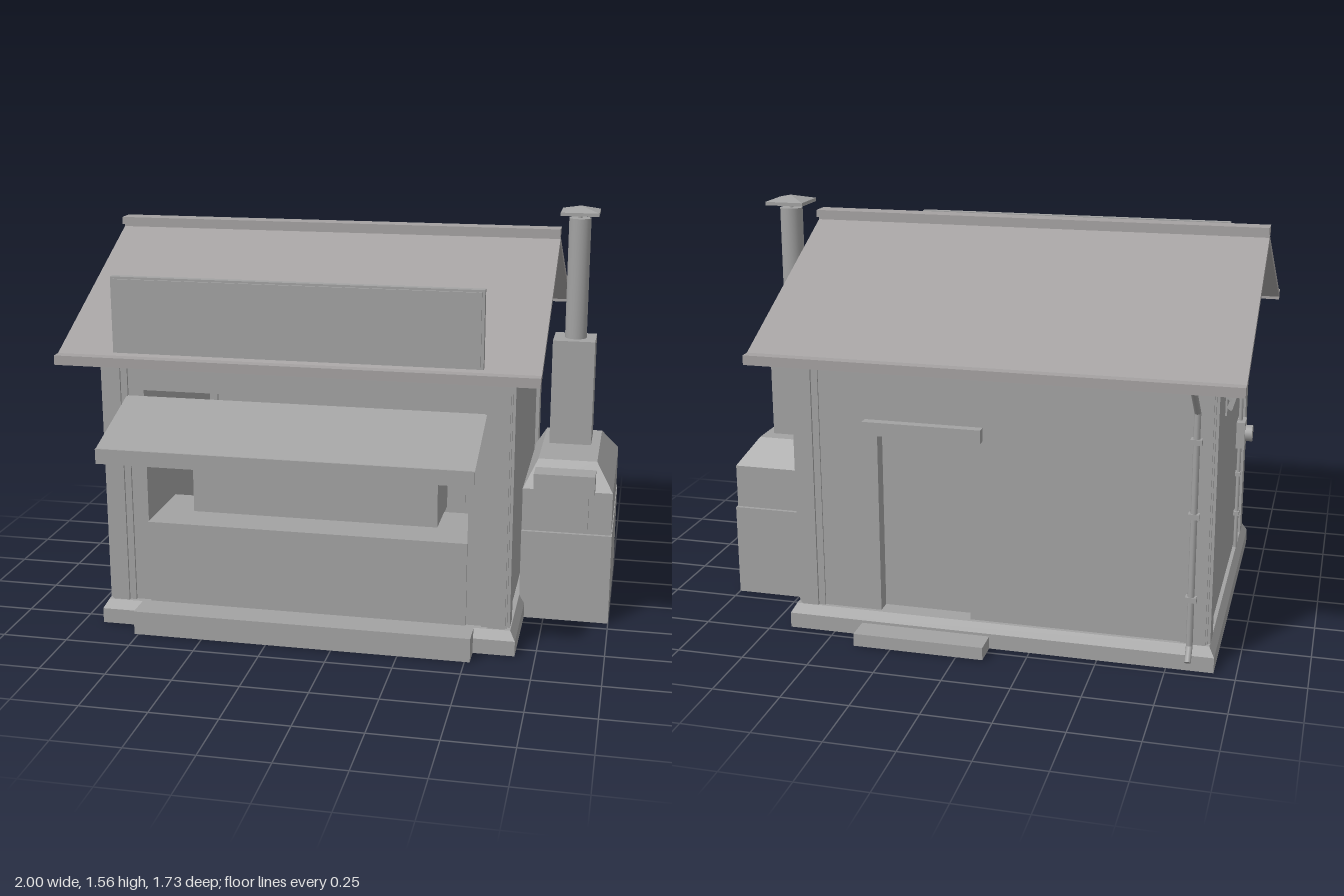
import * as THREE from 'three';

const wallMat = new THREE.MeshStandardMaterial({ color: 0xa2a2a2, name: 'grey', side: THREE.DoubleSide });
const roofMat = new THREE.MeshStandardMaterial({ color: 0xa4a1a1, name: 'warm grey', side: THREE.DoubleSide });

export function createModel() {
  const root = new THREE.Group();
  root.name = 'kioskHut';

  const add = (name, geo, mat = wallMat) => {
    const m = new THREE.Mesh(geo, mat);
    m.name = name;
    root.add(m);
    return m;
  };
  // Box given by its limits on each axis
  const box = (name, x0, x1, y0, y1, z0, z1, mat) =>
    add(name, new THREE.BoxGeometry(x1 - x0, y1 - y0, z1 - z0)
      .translate((x0 + x1) / 2, (y0 + y1) / 2, (z0 + z1) / 2), mat);
  // Box whose top face shrinks to the limits in t = [x0, x1, z0, z1]
  const taper = (name, x0, x1, y0, y1, z0, z1, t) => {
    const g = new THREE.BoxGeometry(1, 1, 1);
    const p = g.attributes.position;
    for (let i = 0; i < p.count; i++) {
      const top = p.getY(i) > 0;
      const [a, b, c, d] = top ? t : [x0, x1, z0, z1];
      p.setXYZ(i, p.getX(i) > 0 ? b : a, top ? y1 : y0, p.getZ(i) > 0 ? d : c);
    }
    g.computeVertexNormals();
    return add(name, g);
  };
  // Round bar between two points
  const rod = (name, a, b, r, sides = 8) => {
    const va = new THREE.Vector3(...a), vb = new THREE.Vector3(...b);
    const d = vb.clone().sub(va);
    const m = add(name, new THREE.CylinderGeometry(r, r, d.length(), sides));
    m.quaternion.setFromUnitVectors(new THREE.Vector3(0, 1, 0), d.normalize());
    m.position.copy(va.add(vb).multiplyScalar(0.5));
    return m;
  };
  const shapeOf = pts => new THREE.Shape(pts.map(p => new THREE.Vector2(...p)));
  // Profile of [z, y] points extruded along x
  const alongX = (name, pts, x0, x1, mat) =>
    add(name, new THREE.ExtrudeGeometry(shapeOf(pts), { depth: x1 - x0, bevelEnabled: false })
      .rotateY(-Math.PI / 2).translate(x1, 0, 0), mat);
  // Wall facing front or back with one rectangular opening
  const wallWithHole = (name, z0, z1, hx0, hx1, hy0, hy1) => {
    const s = shapeOf([[-0.885, 0.08], [0.635, 0.08], [0.635, 1.09], [-0.885, 1.09]]);
    s.holes.push(new THREE.Path([[hx0, hy0], [hx0, hy1], [hx1, hy1], [hx1, hy0]].map(p => new THREE.Vector2(...p))));
    add(name, new THREE.ExtrudeGeometry(s, { depth: z1 - z0, bevelEnabled: false }).translate(0, 0, z0));
  };

  // Plinth and steps
  box('plinth', -0.92, 0.675, 0, 0.058, -0.715, 0.565);
  taper('plinthBevel', -0.92, 0.675, 0.058, 0.092, -0.715, 0.565, [-0.9, 0.655, -0.695, 0.545]);
  box('frontStep', -0.765, 0.52, 0, 0.092, 0.5, 0.648);
  box('backStep', -0.1, 0.39, 0, 0.048, -0.813, -0.68);

  // Walls
  wallWithHole('frontWall', 0.46, 0.522, -0.735, 0.488, 0.4, 0.93);
  wallWithHole('backWall', -0.68, -0.61, -0.02, 0.325, 0.09, 0.785);
  box('leftWall', 0.58, 0.636, 0.08, 1.09, -0.675, 0.52);
  box('rightWall', -0.886, -0.83, 0.08, 1.09, -0.675, 0.52);
  box('wallPlate', -0.91, 0.665, 1.085, 1.12, -0.715, 0.565);

  // Corner posts: a core with a board on each outer face
  for (const sx of [-1, 1]) for (const front of [true, false]) {
    const X = (name, a, b, z0, z1) => {
      const xs = [sx * a - 0.125, sx * b - 0.125].sort((p, q) => p - q);
      const f = d => front ? 0.54 - d : -0.695 + d;
      const zs = [f(z0), f(z1)].sort((p, q) => p - q);
      box(name, xs[0], xs[1], 0.09, 1.09, zs[0], zs[1]);
    };
    X('cornerPost', 0.67, 0.766, 0.009, 0.1);
    X('cornerBoard', 0.695, 0.76, 0, 0.03);
    X('cornerBoard', 0.74, 0.776, 0.02, 0.1);
  }

  // Serving front
  box('counterPanel', -0.735, 0.488, 0.09, 0.414, 0.45, 0.532);
  box('counterTop', -0.735, 0.488, 0.395, 0.414, 0.2, 0.5);
  box('counterCabinet', -0.6, 0.355, 0.41, 0.618, 0.12, 0.38);
  box('frontHeader', -0.8, 0.55, 1.02, 1.085, 0.5, 0.532);

  // Awning: sloping sheet, lip and brackets
  const sheet = new THREE.PlaneGeometry(1.35, Math.hypot(0.335, 0.11));
  sheet.rotateX(-Math.atan2(0.335, 0.11)).translate(-0.125, 0.853, 0.693);
  add('awningSheet', sheet);
  box('awningLip', -0.8, 0.55, 0.745, 0.8, 0.858, 0.865);
  for (const x of [-0.715, 0.468]) {
    rod('awningBar', [x, 0.79, 0.5], [x, 0.79, 0.815], 0.007);
    rod('awningBrace', [x, 0.66, 0.535], [x, 0.787, 0.815], 0.007);
  }

  // Back door
  box('backDoor', -0.03, 0.335, 0.09, 0.79, -0.625, -0.605);
  box('doorLintel', -0.07, 0.37, 0.785, 0.835, -0.715, -0.66);

  // Roof
  const ridge = -0.075, top = 1.458, half = 0.775, eave = 1.083, th = 0.025;
  for (const s of [1, -1])
    alongX('roofSlope', [[ridge, top], [ridge + s * half, eave], [ridge + s * half, eave - th], [ridge, top - th]], -1, 0.75, roofMat);
  box('ridgeCap', -1, 0.75, 1.464, 1.492, -0.113, -0.037, roofMat);
  box('ridgeBoard', -1, 0.75, 1.43, 1.466, -0.088, -0.062, roofMat);
  for (const s of [1, -1]) {
    const z = ridge + s * 0.768;
    box('gutter', -1, 0.75, 1.06, 1.095, z - 0.021, z + 0.021, roofMat);
    for (let i = 0; i < 6; i++) {
      const x = -0.9 + i * 0.31;
      alongX('rafterTail', [[ridge + s * 0.745, 1.054], [ridge + s * 0.745, 1.07], [ridge + s * 0.6, 1.125], [ridge + s * 0.6, 1.105]], x - 0.012, x + 0.012);
    }
  }
  for (const x of [-0.89, 0.62])
    alongX('gable', [[ridge - 0.63, 1.118], [ridge + 0.63, 1.118], [ridge, 1.436]], x, x + 0.02);

  // Sign board with struts
  box('signBoard', -0.79, 0.55, 1.105, 1.383, 0.642, 0.67);
  box('signFace', -0.78, 0.54, 1.113, 1.375, 0.67, 0.677);
  for (const x of [-0.6, 0.35]) rod('signStrut', [x, 1.315, 0.645], [x, 1.16, 0.46], 0.007);

  // Oven and chimney
  box('ovenBase', 0.655, 1, 0, 0.357, -0.45, 0.198);
  box('ovenBody', 0.655, 0.997, 0.357, 0.525, -0.436, 0.184);
  taper('ovenShoulder', 0.655, 0.997, 0.525, 0.62, -0.436, 0.184, [0.705, 0.93, -0.345, 0.092]);
  box('ovenDoor', 0.72, 0.908, 0.375, 0.53, 0.17, 0.213);
  box('ovenHood', 0.7, 0.93, 0.525, 0.605, 0.155, 0.245);
  box('chimneyStack', 0.73, 0.895, 0.6, 1.04, -0.287, -0.125);
  rod('flue', [0.815, 1.03, -0.207], [0.815, 1.515, -0.207], 0.043, 20);
  rod('flueCapStem', [0.815, 1.5, -0.207], [0.815, 1.54, -0.207], 0.008);
  box('flueCap', 0.742, 0.89, 1.53, 1.543, -0.281, -0.133);
  taper('flueCapTop', 0.742, 0.89, 1.543, 1.562, -0.281, -0.133, [0.812, 0.82, -0.211, -0.203]);

  // Downpipe on the back wall
  const px = -0.83;
  const pipe = [[px, 1.065, -0.84], [px, 0.955, -0.705], [px, 0.09, -0.705], [px, 0.045, -0.745]];
  for (let i = 0; i < 3; i++) rod('downpipe', pipe[i], pipe[i + 1], 0.012);
  for (const y of [0.27, 0.58, 0.85]) box('pipeClip', px - 0.02, px + 0.02, y - 0.01, y + 0.01, -0.718, -0.68);

  // Louvred vent on the right wall
  box('ventPlate', -0.893, -0.88, 0.83, 0.95, -0.31, -0.09);
  for (let i = 0; i < 3; i++) {
    const s = box('ventSlat', -0.014, 0.014, -0.004, 0.004, -0.1, 0.1);
    s.position.set(-0.897, 0.857 + i * 0.035, -0.2);
    s.rotation.z = 0.6;
  }

  // Power conduit and meter
  const cz = 0.25;
  rod('conduit', [-0.898, 0.1, cz], [-0.898, 1.01, cz], 0.008);
  rod('conduitHead', [-0.898, 1.0, cz], [-0.928, 1.05, cz], 0.014);
  for (const y of [0.25, 0.42, 0.82]) box('conduitClip', -0.908, -0.88, y - 0.008, y + 0.008, cz - 0.016, cz + 0.016);
  box('meterBox', -0.92, -0.88, 0.54, 0.648, cz - 0.042, cz + 0.042);
  rod('meterDial', [-0.91, 0.595, cz], [-0.948, 0.595, cz], 0.033, 16);

  return root;
}
